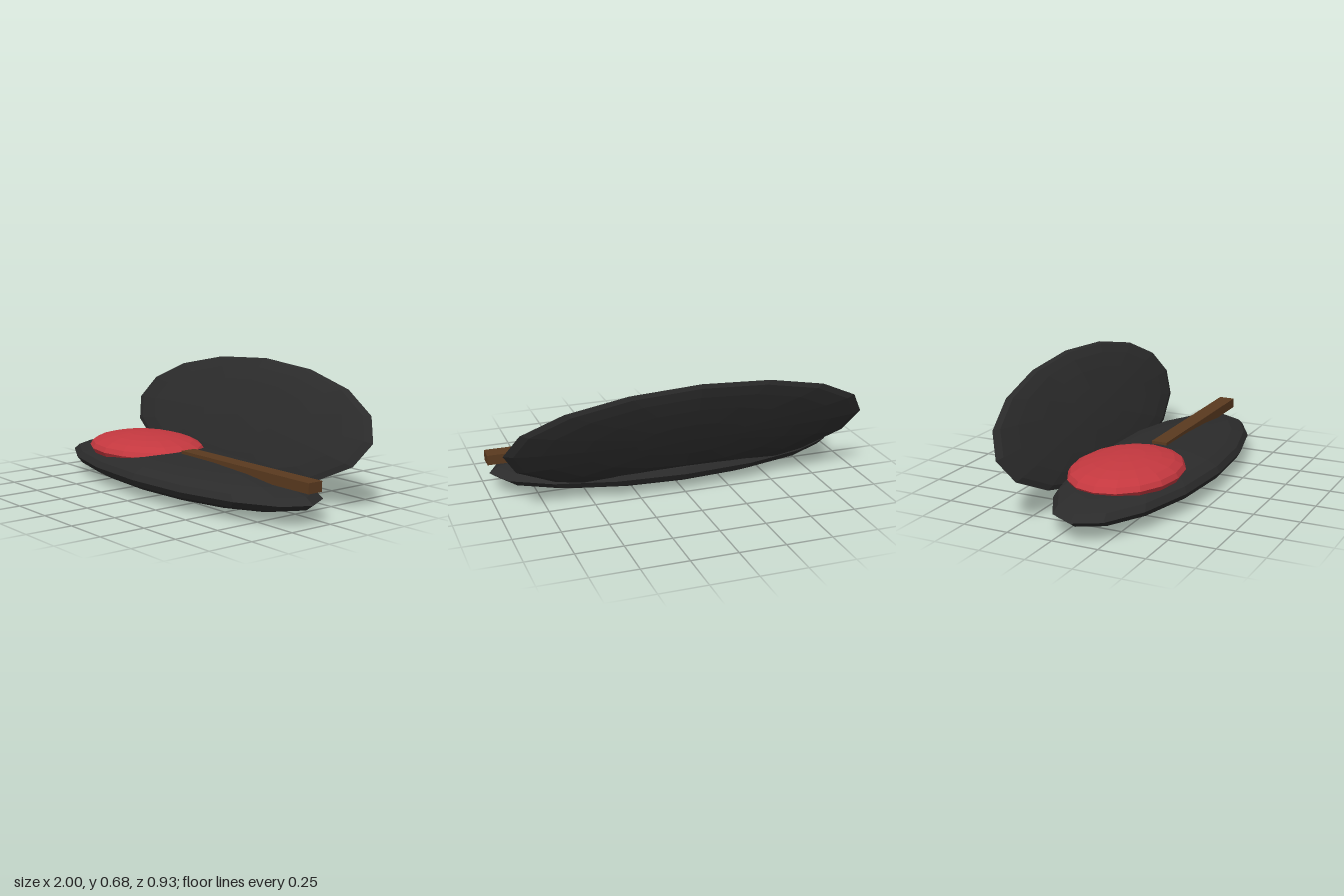
import * as THREE from 'three';

export function createModel() {
  const model = new THREE.Group();
  const material = (name, color) => {
    const m = new THREE.MeshStandardMaterial({ color, flatShading: true });
    m.name = name;
    return m;
  };
  const charcoal = material('charcoal', 0x2b2b2b);
  const red = material('red', 0xc4383f);
  const brown = material('brown', 0x5a3a1f);

  // Low-poly ellipsoid: radii and centre
  const ellipsoid = (name, mat, radii, centre) => {
    const geometry = new THREE.SphereGeometry(1, 16, 10);
    geometry.scale(...radii);
    const mesh = new THREE.Mesh(geometry, mat);
    mesh.name = name;
    mesh.position.set(...centre);
    model.add(mesh);
    return mesh;
  };

  // Lower shell lying flat, upper shell swung open behind it
  ellipsoid('lowerShell', charcoal, [0.993, 0.105, 0.362], [-0.007, 0.11, 0.102]);
  const lid = ellipsoid('upperShell', charcoal, [0.993, 0.05, 0.36], [-0.007, 0.363, -0.3]);
  lid.rotation.x = 1.1;

  // Soft oval pad resting in the lower shell
  ellipsoid('pad', red, [0.38, 0.085, 0.29], [-0.382, 0.187, 0.1]);

  // Square bar reaching out to one side
  const bar = new THREE.Mesh(new THREE.BoxGeometry(0.995, 0.054, 0.088), brown);
  bar.name = 'bar';
  bar.position.set(0.5025, 0.202, 0.103);
  model.add(bar);

  return model;
}
